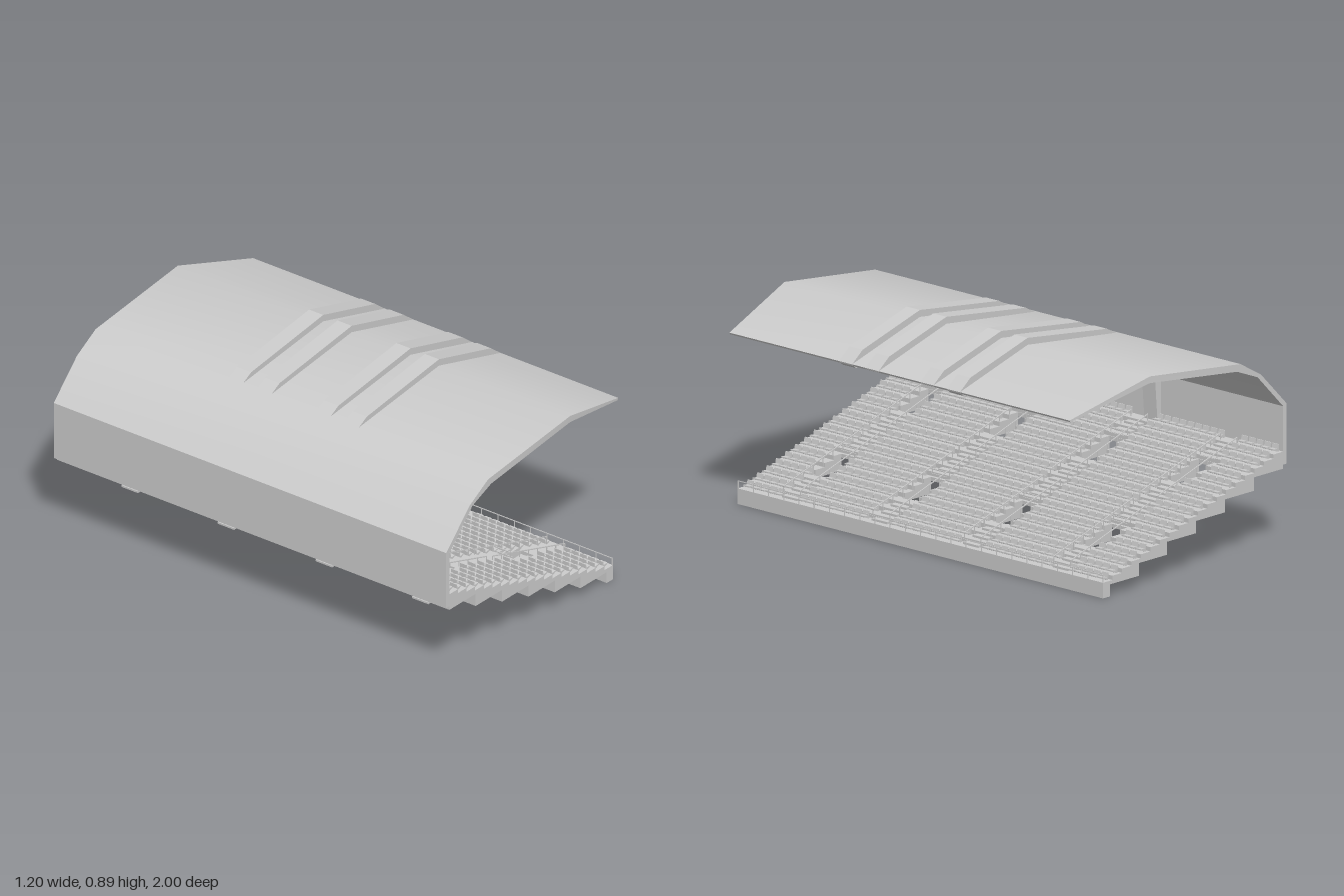
import * as THREE from 'three';
import { mergeGeometries, toCreasedNormals } from 'three/addons/utils/BufferGeometryUtils.js';

const material = new THREE.MeshStandardMaterial({ color: 0xcccccc, side: THREE.DoubleSide });

const ROWS = 19, TREAD = 0.0555, RISE = 0.018, FRONT = 0.475;
const rowX = (i) => FRONT - TREAD * i;
const rowY = (i) => 0.065 + RISE * i;
const AISLES = [-0.74, -0.25, 0.25, 0.74];
const HALF = 0.042; // half width of aisles and entrances
const ENTRANCES = [
  { back: 0.1, front: 0.265, low: 0.05, high: 0.103 },
  { back: -0.41, front: -0.24, low: 0.208, high: 0.262 },
];

// Treads on top and stepped soffit below, each as [xMin, xMax, y]
const treads = Array.from({ length: ROWS }, (_, i) => [rowX(i + 1), rowX(i), rowY(i)]);
treads.push([-0.6, rowX(ROWS), rowY(ROWS - 1)]);
const soffit = [
  [-0.6, -0.58, 0.335], [-0.58, -0.41, 0.318], [-0.41, -0.24, 0.262], [-0.24, -0.07, 0.208],
  [-0.07, 0.1, 0.157], [0.1, 0.265, 0.103], [0.265, 0.435, 0.05], [0.435, 0.475, 0],
];

// Extrude an x-y outline from z0 to z1
function slab(points, z0, z1) {
  const shape = new THREE.Shape(points.map(([x, y]) => new THREE.Vector2(x, y)));
  return new THREE.ExtrudeGeometry(shape, { depth: z1 - z0, bevelEnabled: false }).translate(0, 0, z0);
}

function box(w, h, d, x, y, z) {
  return new THREE.BoxGeometry(w, h, d).toNonIndexed().translate(x, y, z);
}

// Thin bar between two points of equal z
function bar(x0, y0, x1, y1, z, t) {
  return new THREE.BoxGeometry(Math.hypot(x1 - x0, y1 - y0), t, t).toNonIndexed()
    .rotateZ(Math.atan2(y1 - y0, x1 - x0))
    .translate((x0 + x1) / 2, (y0 + y1) / 2, z);
}

// Cross-section of the terrace between two x positions
function terraceSection(xa, xb) {
  const clip = (list) => list
    .map(([a, b, y]) => [Math.max(a, xa), Math.min(b, xb), y])
    .filter(([a, b]) => b - a > 1e-5);
  const pts = [];
  for (const [a, b, y] of clip(soffit)) pts.push([a, y], [b, y]);
  for (const [a, b, y] of clip(treads)) pts.push([b, y], [a, y]);
  return pts;
}

function buildTerrace() {
  const parts = [];
  let z = -1;
  for (const a of AISLES) {
    parts.push(slab(terraceSection(-0.6, FRONT), z, a - HALF));
    // strip interrupted by the two entrance openings
    for (const [x0, x1] of [[-0.6, -0.41], [-0.24, 0.1], [0.265, FRONT]]) {
      parts.push(slab(terraceSection(x0, x1), a - HALF, a + HALF));
    }
    z = a + HALF;
  }
  parts.push(slab(terraceSection(-0.6, FRONT), z, 1));
  return mergeGeometries(parts);
}

// Flights that climb forward into each opening
function buildEntranceStairs() {
  const parts = [];
  for (const e of ENTRANCES) {
    const n = 7, start = e.front - 0.2, run = 0.15 / (n - 1), rise = (e.high - e.low) / n;
    const pts = [[e.front, e.low], [e.front, e.high]];
    for (let i = n - 1; i >= 0; i--) {
      pts.push([start + i * run, e.low + (i + 1) * rise], [start + i * run, e.low + i * rise]);
    }
    for (const a of AISLES) parts.push(slab(pts, a - HALF, a + HALF));
  }
  return mergeGeometries(parts);
}

const overOpening = (x, pad) => ENTRANCES.some((e) => x > e.back - pad && x < e.front + pad);

function buildAisleSteps() {
  const parts = [];
  for (const a of AISLES) {
    for (let i = 0; i < ROWS - 1; i++) {
      const x = rowX(i + 1) + TREAD / 4;
      if (!overOpening(x, TREAD / 4)) {
        parts.push(box(TREAD / 2, RISE / 2, HALF * 2, x, rowY(i) + RISE / 4, a));
      }
    }
  }
  return mergeGeometries(parts);
}

function buildSeats() {
  const w = 0.032, count = 47, pitch = 1.98 / count;
  const seat = slab([
    [-0.016, 0], [-0.008, 0], [0.014, 0.009], [0.014, 0.014], [-0.009, 0.012], [-0.013, 0.03], [-0.017, 0.03],
  ], -w / 2, w / 2);
  const parts = [];
  for (let i = 0; i < ROWS; i++) {
    const x = rowX(i + 0.55);
    const gap = overOpening(x, 0.01) ? 0.065 : 0.055;
    for (let k = 0; k < count; k++) {
      const z = (k - (count - 1) / 2) * pitch;
      if (AISLES.some((a) => Math.abs(z - a) < gap)) continue;
      parts.push(seat.clone().translate(x, rowY(i), z));
    }
  }
  return mergeGeometries(parts);
}

// Sloping rails on both sides of each aisle, with a gap halfway up
function buildHandrails() {
  const parts = [];
  for (const a of AISLES) {
    for (const z of [a - HALF - 0.004, a + HALF + 0.004]) {
      for (const [x0, y0, x1, y1] of [[-0.54, 0.415, -0.07, 0.268], [-0.03, 0.252, 0.435, 0.107]]) {
        parts.push(bar(x0, y0, x1, y1, z, 0.004));
        for (let k = 0; k <= 8; k++) {
          const x = x0 + ((x1 - x0) * k) / 8, y = y0 + ((y1 - y0) * k) / 8;
          const floor = rowY(Math.floor((FRONT - x) / TREAD));
          parts.push(box(0.003, y - floor, 0.003, x, (y + floor) / 2, z));
        }
      }
    }
    // guard on the uphill edge of each opening
    for (const e of ENTRANCES) {
      const y = rowY(Math.floor((FRONT - e.back) / TREAD));
      for (const h of [0.015, 0.035]) parts.push(box(0.004, 0.004, HALF * 2, e.back, y + h, a));
    }
  }
  return mergeGeometries(parts);
}

function buildFrontRail() {
  const parts = [box(0.003, 0.003, 2, 0.473, 0.096, 0)];
  for (let k = 0; k <= 24; k++) parts.push(box(0.003, 0.031, 0.003, 0.473, 0.08, -0.998 + (k * 1.996) / 24));
  return mergeGeometries(parts);
}

// Back wall and canopy in one folded sheet, ends tapering toward the front edge
function buildRoof() {
  const geo = slab([
    [-0.6, 0.335], [-0.58, 0.335], [-0.58, 0.578], [-0.43, 0.73], [-0.31, 0.778], [0.2, 0.838], [0.592, 0.744],
    [0.597, 0.752], [0.2, 0.866], [-0.33, 0.806], [-0.45, 0.737], [-0.6, 0.586],
  ], -1, 1);
  const p = geo.attributes.position;
  for (let i = 0; i < p.count; i++) {
    const t = Math.max(0, (p.getX(i) - 0.2) / 0.4);
    p.setZ(i, p.getZ(i) * (1 - 0.07 * t));
  }
  return toCreasedNormals(geo, 0.6);
}

export function createModel() {
  const group = new THREE.Group();
  const add = (name, geometry) => {
    const mesh = new THREE.Mesh(geometry, material);
    mesh.name = name;
    group.add(mesh);
  };

  add('terrace', buildTerrace());
  add('entranceStairs', buildEntranceStairs());
  add('aisleSteps', buildAisleSteps());
  add('seats', buildSeats());
  add('handrails', buildHandrails());
  add('frontRail', buildFrontRail());
  add('roof', buildRoof());

  // Ribs above the canopy, and the frames that continue below it to the terrace
  const upper = [[-0.33, 0.8], [0.2, 0.86], [0.595, 0.746], [0.597, 0.752], [0.535, 0.8], [0.2, 0.895], [-0.265, 0.835]];
  const lower = [
    [-0.59, 0.385], [-0.56, 0.385], [-0.545, 0.577], [-0.4, 0.706], [-0.315, 0.731], [0.19, 0.798], [0.572, 0.731],
    [0.594, 0.746], [0.2, 0.85], [-0.32, 0.79], [-0.44, 0.732], [-0.59, 0.582],
  ];
  for (const side of [-1, 1]) {
    for (const z of [0.15, 0.295]) add('roofRib', slab(upper, side * z - 0.036, side * z + 0.036));
    add('supportFrame', slab(lower, side * 0.295 - 0.036, side * 0.295 + 0.036));
  }
  return group;
}
